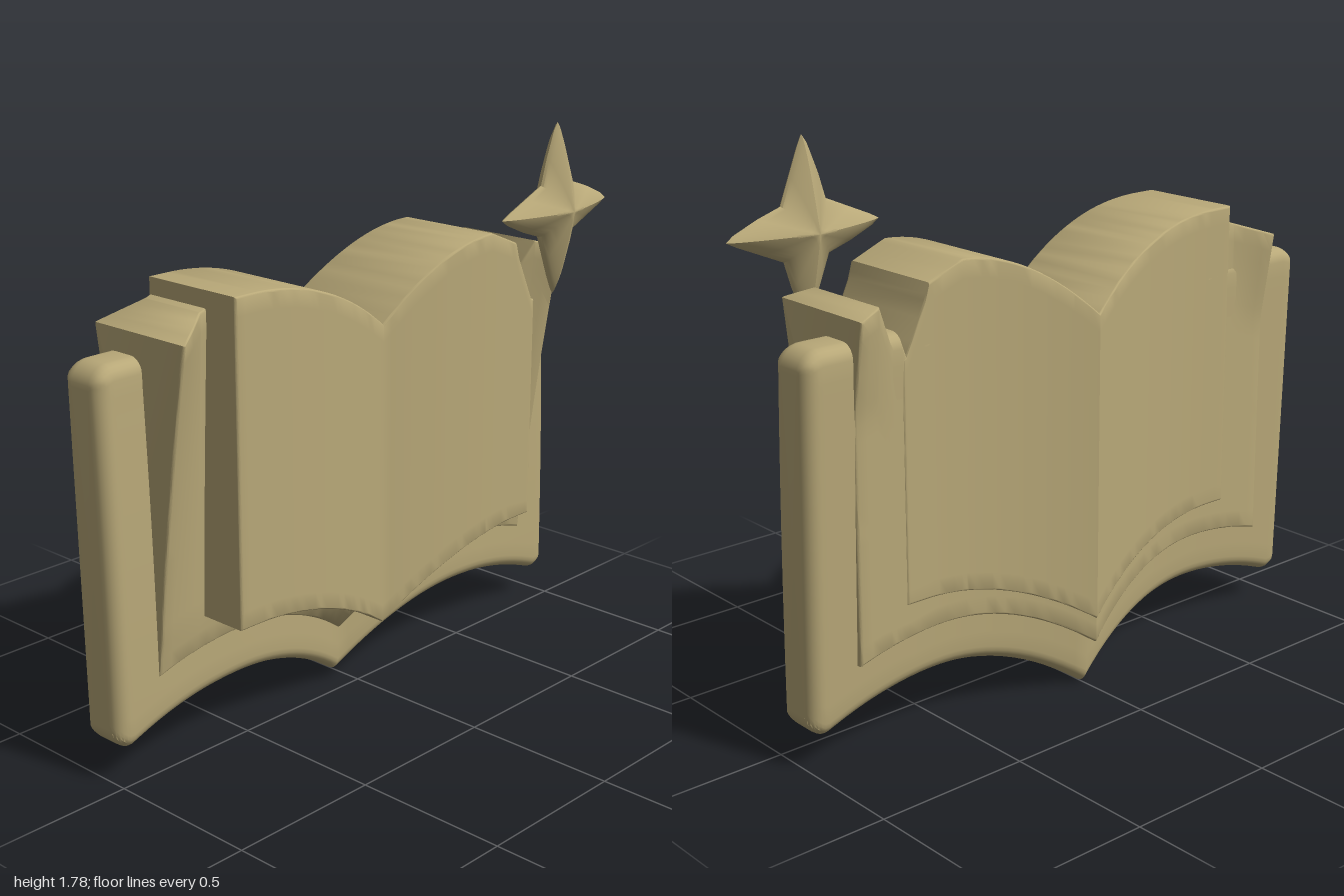
import * as THREE from 'three';
import { toCreasedNormals } from 'three/addons/utils/BufferGeometryUtils.js';

const clamp = (v) => Math.min(1, Math.max(0, v));
const lerp = THREE.MathUtils.lerp;

// Quarter-round inset at distance d from an edge of radius r
const round = (d, r) => (d >= r ? 0 : r - Math.sqrt(Math.max(0, r * r - (r - d) ** 2)));

// Piecewise-linear curve through [z, y] pairs with rising z
function through(points, z) {
  for (let i = 1; i < points.length; i++) {
    const [a, b] = [points[i - 1], points[i]];
    if (z <= b[0]) return lerp(a[1], b[1], clamp((z - a[0]) / (b[0] - a[0])));
  }
  return points[points.length - 1][1];
}

// Closed skin over a list of equal-length rings, capped at both ends
function loft(rings, crease) {
  const out = [];
  const tri = (...p) => p.forEach((v) => out.push(v.x, v.y, v.z));
  const n = rings[0].length;
  for (let i = 0; i < rings.length - 1; i++) {
    for (let j = 0; j < n; j++) {
      const k = (j + 1) % n;
      tri(rings[i][j], rings[i][k], rings[i + 1][k]);
      tri(rings[i][j], rings[i + 1][k], rings[i + 1][j]);
    }
  }
  [rings[0], rings[rings.length - 1]].forEach((ring, end) => {
    const c = new THREE.Vector3();
    ring.forEach((p) => c.addScaledVector(p, 1 / n));
    ring.forEach((p, j) => {
      const q = ring[(j + 1) % n];
      if (end) tri(c, p, q);
      else tri(c, q, p);
    });
  });
  const g = new THREE.BufferGeometry();
  g.setAttribute('position', new THREE.Float32BufferAttribute(out, 3));
  return toCreasedNormals(g, crease);
}

// Upright slab running along z, bounded by bottom/top heights and back/front depths
function slab({ half, r, bottom, top, back, front, extra = [] }) {
  const zs = [...extra];
  for (let i = -24; i <= 24; i++) zs.push((i / 24) * (half - r));
  for (let i = 1; i <= 6; i++) {
    const z = half - r + r * Math.sin((i / 6) * Math.PI / 2);
    zs.push(z, -z);
  }
  zs.sort((a, b) => a - b);
  const rings = zs.map((z) => {
    const yb = bottom(z), yt = top(z), ys = [];
    const end = round(half - Math.abs(z), r);
    for (let i = 0; i <= 5; i++) ys.push(yb + r * (1 - Math.cos((i / 5) * Math.PI / 2)));
    for (let i = 1; i < 20; i++) ys.push(lerp(yb + r, yt - r, i / 20));
    for (let i = 5; i >= 0; i--) ys.push(yt - r * (1 - Math.cos((i / 5) * Math.PI / 2)));
    const inset = (y) => Math.max(end, round(Math.min(y - yb, yt - y), r));
    const f = ys.map((y) => new THREE.Vector3(front(z, y) - inset(y), y, z));
    const b = ys.map((y) => new THREE.Vector3(back(z, y) + inset(y), y, z));
    return [...f, ...b.reverse()];
  });
  return loft(rings, 0.6);
}

// Falls off as a parabola from its rim (|z| = w) to the spine (z = 0)
const dip = (z, w) => clamp(1 - Math.abs(z) / w) ** 2;

// Page block curves; the -z corner is notched below the star
const notch = [[-0.68, 1.19], [-0.655, 1.2], [-0.585, 1.35], [-0.57, 1.4], [-0.45, 1.45], [0, 1.45]];
const pageTop = (z) => (z < 0 ? through(notch, z) - 0.22 * dip(z, 0.45) : 1.45 - 0.22 * dip(z, 0.6));
const pageBottom = (z) => 0.445 - 0.205 * dip(z, 0.6);
const pageBack = (z) => -0.2 - 0.1 * dip(z, 0.6);
const pageFront = (z) => 0.167 - 0.057 * dip(z, 0.5);

// Cover curves
const coverShift = (z) => -0.08 * dip(z, 0.6);
const coverEdge = (z) => 0.19 - 0.19 * dip(z, 0.52) - 0.09 * clamp((Math.abs(z) - 0.52) / 0.43) ** 2;
const coverBottom = (z) => coverEdge(z) + round(1 - Math.abs(z), 0.07);
const coverTop = (z) => Math.min(1.27 - round(1 - Math.abs(z), 0.07), Math.abs(z) < 0.67 ? pageTop(z) - 0.06 : 9);
const coverBack = (z, y) => -0.2 + 0.03 * (1 - clamp(y / 1.2)) + coverShift(z);
const coverFront = (z, y) => -0.01 - 0.03 * clamp(y / 1.2) ** 2 + coverShift(z);

// Flared lining curves
const flare = (z) => clamp((Math.abs(z) - 0.69) / 0.14);
const liningBottom = (z) => coverEdge(z) + 0.16;
const liningSide = [[-0.84, 1.34], [-0.76, 1.365], [-0.71, 1.25], [-0.67, 1.19]];
function liningTop(z) {
  if (z < -0.66) return through(liningSide, z);
  return z > 0.66 ? through([[0.66, 1.4], [0.84, 1.34]], z) : Math.min(1.4, pageTop(z) - 0.03);
}
function liningFront(z, y) {
  const t = clamp((y - 0.3) / 1.04) ** 1.3;
  const x = lerp(0.045, 0.14, flare(z)) * t;
  return lerp(coverFront(z, y) + 0.005, x, clamp((y - liningBottom(z)) / 0.1));
}
const liningBack = (z, y) => pageBack(z) + 0.003 - 0.045 * flare(z) * clamp((y - 1.05) / 0.28);

// Four-pointed puffed star, lofted along x
function star() {
  const quarter = [[0.28, 0], [0.255, 0.018], [0.17, 0.053], [0.085, 0.08], [0.05, 0.165], [0.017, 0.245]];
  const outline = [];
  for (let q = 0; q < 4; q++) {
    const c = [1, 0, -1, 0][q], s = [0, 1, 0, -1][q];
    quarter.forEach(([y, z]) => outline.push([c * y - s * z, s * y + c * z]));
  }
  const rings = [];
  for (let k = -10; k <= 10; k++) {
    const w = k / 10;
    const u = Math.max(0.004, 1 - Math.abs(w) ** 1.43);
    rings.push(outline.map(([y, z]) => new THREE.Vector3(0.08 * w, y * u, z * u * 0.96)));
  }
  return loft(rings, 0.7);
}

export function createModel() {
  const group = new THREE.Group();
  const material = new THREE.MeshStandardMaterial({ color: 0xb8a878 });
  const add = (name, geometry) => {
    const mesh = new THREE.Mesh(geometry, material);
    mesh.name = name;
    group.add(mesh);
    return mesh;
  };

  // Rounded cover with a scalloped lower edge
  add('cover', slab({
    half: 1, r: 0.045, bottom: coverBottom, top: coverTop, back: coverBack, front: coverFront,
    extra: [-0.94, 0.94, -0.67, 0.67],
  }));

  // Lining between cover and pages, flaring out towards its upper corners
  add('lining', slab({
    half: 0.84, r: 0.008, bottom: liningBottom, top: liningTop, back: liningBack, front: liningFront,
    extra: [-0.76, -0.71, -0.69, -0.67, -0.661, -0.659, 0.659, 0.661, 0.69],
  }));

  // Open pages meeting at the spine
  add('pages', slab({
    half: 0.67, r: 0.008, bottom: pageBottom, top: pageTop, back: pageBack, front: pageFront,
    extra: [-0.655, -0.585, -0.57, -0.45],
  }));

  // Star floating by the upper corner
  add('star', star()).position.set(0.22, 1.5, -0.695);
  return group;
}
